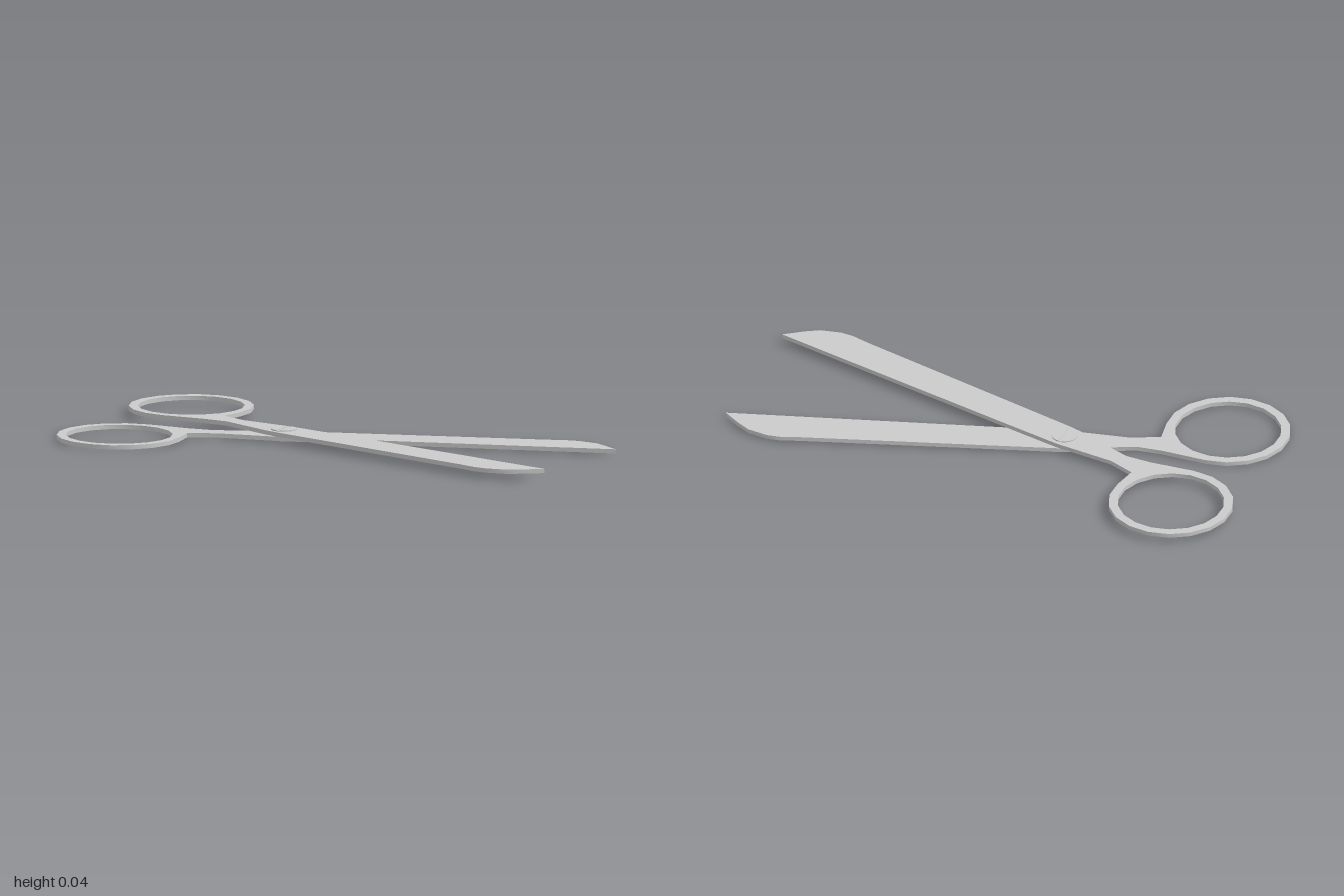
import * as THREE from 'three';
import { toCreasedNormals } from 'three/addons/utils/BufferGeometryUtils.js';

const grey = new THREE.MeshStandardMaterial({ color: 0xcccccc });
const MID = 0.021; // height of the plane where the two halves meet

// Extrude a flat outline given in (x, z), rising from y0 to y1
function slab(shape, y0, y1) {
  const geo = new THREE.ExtrudeGeometry(shape, { depth: y1 - y0, bevelEnabled: false, curveSegments: 12 });
  geo.rotateX(Math.PI / 2).translate(0, y1, 0);
  return toCreasedNormals(geo, 0.6);
}

// Points on an arc about (cx, cz), angles in degrees
function arc(cx, cz, r, from, to, steps) {
  return Array.from({ length: steps + 1 }, (_, i) => {
    const a = THREE.MathUtils.degToRad(from + (to - from) * i / steps);
    return new THREE.Vector2(cx + r * Math.cos(a), cz + r * Math.sin(a));
  });
}

// One half: finger ring, shank and blade in a single outline
function halfGeometry() {
  const cx = -0.7715, cz = -0.288;
  const shank = [
    [-0.56, -0.15], [-0.46, -0.103], [-0.23, -0.064], [0, 0], [1, 0.283], // cutting edge
    [0.93, 0.333], [0.88, 0.362], [0.8, 0.375], [0.75, 0.368], [0.685, 0.345], // rounded tip
    [-0.23, 0.068], [-0.285, 0.048], [-0.39, 0], [-0.5, -0.05], [-0.6, -0.059], // back
  ].map(([x, z]) => new THREE.Vector2(x, z));
  // 18-sided ring, left open where the shank joins
  const ring = arc(cx, cz, 0.232, 90, 370, 14);
  const shape = new THREE.Shape([...ring, ...shank]);
  shape.holes.push(new THREE.Path(arc(cx, cz, 0.198, 90, 430, 17)));
  return slab(shape, 0.0005, 0.0165);
}

// Screw head: a disc with two raised half-discs leaving a slot between them
function screwHead() {
  const head = new THREE.Group();
  const disc = new THREE.Mesh(new THREE.CylinderGeometry(0.048, 0.048, 0.018, 24), grey);
  disc.name = 'screwDisc';
  disc.position.y = 0.009;
  head.add(disc);
  for (const start of [-83, 97]) {
    const lip = new THREE.Mesh(slab(new THREE.Shape(arc(0, 0, 0.048, start, start + 166, 12)), 0.018, 0.021), grey);
    lip.name = 'screwLip';
    head.add(lip);
  }
  return head;
}

export function createModel() {
  const model = new THREE.Group();
  model.name = 'scissors';
  const half = halfGeometry();
  // Both sides are the same parts, turned over about the long axis
  for (const [side, turn] of [['upper', 0], ['lower', Math.PI]]) {
    const group = new THREE.Group();
    group.name = side + 'Half';
    group.position.y = MID;
    group.rotation.x = turn;
    const blade = new THREE.Mesh(half, grey);
    blade.name = side + 'BladeAndHandle';
    const head = screwHead();
    head.name = side + 'ScrewHead';
    head.position.x = -0.235;
    group.add(blade, head);
    model.add(group);
  }
  return model;
}
